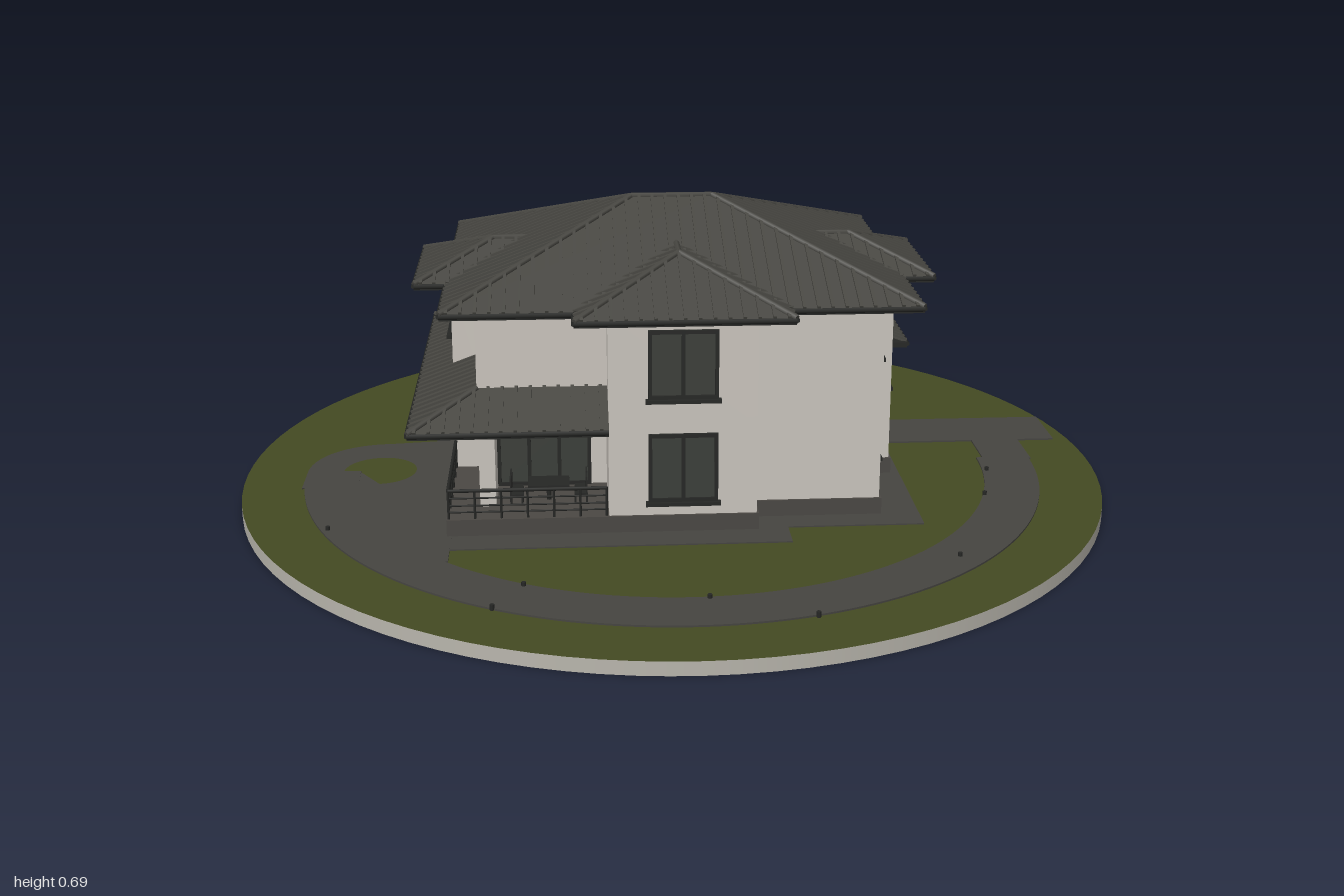
import * as THREE from 'three';
import { mergeGeometries } from 'three/addons/utils/BufferGeometryUtils.js';

const mat = (name, color, side = THREE.FrontSide) => {
  const m = new THREE.MeshStandardMaterial({ color, side });
  m.name = name;
  return m;
};

export function createModel() {
  const wall = mat('plaster', 0xcbc6be), roofMat = mat('roof', 0x484742, THREE.DoubleSide);
  const trim = mat('dark trim', 0x262725), glass = mat('glass', 0x3c3f3a);
  const plinthMat = mat('plinth', 0x4b4844), grass = mat('grass', 0x444a22);
  const paving = mat('paving', 0x464541), concrete = mat('concrete', 0xb9b6ad);
  const model = new THREE.Group();

  const add = (name, geo, material, parent = model) => {
    const m = new THREE.Mesh(geo, material);
    m.name = name;
    parent.add(m);
    return m;
  };
  const group = (name) => {
    const g = new THREE.Group();
    g.name = name;
    model.add(g);
    return g;
  };
  // Box given by its limits
  const box = (x0, x1, y0, y1, z0, z1) =>
    new THREE.BoxGeometry(x1 - x0, y1 - y0, z1 - z0).translate((x0 + x1) / 2, (y0 + y1) / 2, (z0 + z1) / 2);
  // Upright prism over a plan shape drawn in (x, -z)
  const prism = (shape, y0, y1) =>
    new THREE.ExtrudeGeometry(shape, { depth: y1 - y0, bevelEnabled: false, curveSegments: 48 })
      .rotateX(-Math.PI / 2).translate(0, y0, 0);
  const plan = (pts) => new THREE.Shape(pts.map(([x, z]) => new THREE.Vector2(x, -z)));
  const rod = (a, b, r, sides = 6) => {
    const p = new THREE.Vector3(...a), d = new THREE.Vector3(...b).sub(p);
    const q = new THREE.Quaternion().setFromUnitVectors(new THREE.Vector3(0, 1, 0), d.clone().normalize());
    const c = p.addScaledVector(d, 0.5);
    return new THREE.CylinderGeometry(r, r, d.length(), sides).applyQuaternion(q).translate(c.x, c.y, c.z);
  };

  // Round plot with grass on top
  add('plot', new THREE.CylinderGeometry(1, 1, 0.03, 96).translate(0, 0.015, 0), [concrete, grass, concrete]);

  // Curved drive, turning loop with island, side drive and apron
  const G = 0.03, P = 0.034;
  const ring = new THREE.Shape();
  ring.absarc(0, 0, 0.86, Math.PI, 2 * Math.PI, false);
  ring.absarc(0, 0, 0.735, 2 * Math.PI, Math.PI, true);
  add('curvedDrive', prism(ring, G, P), paving);
  const loop = new THREE.Shape();
  loop.moveTo(-0.86, 0);
  loop.bezierCurveTo(-0.86, 0.11, -0.78, 0.18, -0.68, 0.18);
  loop.lineTo(-0.5, 0.2);
  loop.lineTo(-0.5, -0.53);
  loop.absarc(0, 0, 0.74, Math.PI + 0.81, Math.PI, true);
  loop.lineTo(-0.86, -0.1);
  const island = new THREE.Path();
  island.absarc(-0.69, 0, 0.085, 0, Math.PI * 2, true);
  loop.holes.push(island);
  add('turningLoop', prism(loop, G, P - 0.0005), paving);
  add('sideDrive', box(0.44, 0.955, G, P, -0.28, -0.12), paving);
  add('driveLink', box(0.75, 0.865, G, P, -0.12, 0.01), paving);
  add('apron', mergeGeometries([box(-0.57, 0.53, G, P - 0.001, -0.44, 0.39),
    box(-0.57, 0.23, G, P - 0.001, 0.39, 0.47), box(-0.23, 0.51, G, P - 0.001, -0.51, -0.44)]), paving);
  const lamps = [[0.03, 0.74], [0.7, 0.235], [0.74, 0.085], [0.57, 0.57], [0.235, 0.83], [-0.4, 0.76], [-0.77, 0.35], [-0.34, 0.66]];
  add('driveLamps', mergeGeometries(lamps.map(([x, z]) =>
    new THREE.CylinderGeometry(0.005, 0.005, 0.012, 8).translate(x, 0.036, z))), trim);

  // Plinth and the two storeys, with a recessed terrace and entrance
  add('plinth', prism(plan([[-0.51, 0.4], [0.165, 0.4], [0.165, 0.33], [0.445, 0.33], [0.445, 0.085], [0.51, 0.085],
    [0.51, -0.125], [0.445, -0.125], [0.445, -0.445], [-0.165, -0.445], [-0.165, -0.375], [-0.51, -0.375]]), G, 0.07), plinthMat);
  add('groundFloorWalls', prism(plan([[-0.44, 0.08], [-0.44, 0.325], [-0.405, 0.325], [-0.405, 0.2], [-0.16, 0.2],
    [-0.16, 0.395], [0.16, 0.395], [0.16, 0.325], [0.44, 0.325], [0.44, 0.08], [0.505, 0.08], [0.505, -0.12],
    [0.34, -0.12], [0.34, -0.265], [0.44, -0.265], [0.44, -0.44], [-0.16, -0.44], [-0.16, -0.37],
    [-0.505, -0.37], [-0.505, 0.08]]), 0.07, 0.29), wall);
  add('upperFloorWalls', prism(plan([[-0.44, 0.325], [-0.16, 0.325], [-0.16, 0.395], [0.16, 0.395], [0.16, 0.325],
    [0.44, 0.325], [0.44, 0.08], [0.505, 0.08], [0.505, -0.12], [0.44, -0.12], [0.44, -0.37], [0.16, -0.37],
    [0.16, -0.44], [-0.16, -0.44], [-0.16, -0.37], [-0.44, -0.37], [-0.44, -0.12], [-0.505, -0.12],
    [-0.505, 0.08], [-0.44, 0.08]]), 0.27, 0.52), wall);

  // One roof slope: eave starts at (x, z) and runs along (dx, dz); hips at either end are optional
  const S = 0.373;
  const slope = (g, x, z, dx, dz, L, R, y, hipA, hipB) => {
    const nx = dz, nz = -dx;
    const at = (t, r, h = 0) => [x + dx * t + nx * r, y + S * r + h, z + dz * t + nz * r];
    const a = at(0, 0), b = at(L, 0), c = at(L - hipB * R, R), d = at(hipA * R, R);
    const face = new THREE.BufferGeometry();
    face.setAttribute('position', new THREE.Float32BufferAttribute([a, b, c, a, c, d].flat(), 3));
    face.computeVertexNormals();
    add('roofSlope', face, roofMat, g);
    // Raised seams up the slope
    const ribs = [], k = Math.hypot(1, S), n = Math.round(L / 0.03);
    const basis = new THREE.Matrix4().makeBasis(new THREE.Vector3(dx, 0, dz),
      new THREE.Vector3(-nx * S, 1, -nz * S).normalize(), new THREE.Vector3(-nx, -S, -nz).normalize());
    for (let i = 0; i < n; i++) {
      const t = (i + 0.5) * L / n;
      const len = Math.min(R, hipA ? t : R, hipB ? L - t : R);
      const m = basis.clone().setPosition(...at(t, len / 2));
      ribs.push(new THREE.BoxGeometry(0.007, 0.01, len * k).applyMatrix4(m));
    }
    add('roofSeams', mergeGeometries(ribs), roofMat, g);
    if (hipA) add('hipCap', rod(a, d, 0.007), roofMat, g);
    // Soffit strip with fascia
    const e = at(0, 0), f = at(L, R);
    add('eave', box(Math.min(e[0], f[0]), Math.max(e[0], f[0]), y - 0.014, y - 0.001,
      Math.min(e[2], f[2]), Math.max(e[2], f[2])), trim, g);
    add('gutter', rod(at(0, 0, -0.005), at(L, 0, -0.005), 0.006), trim, g);
  };
  const hipRoof = (name, x0, x1, z0, z1, y) => {
    const g = group(name), w = x1 - x0, d = z1 - z0, R = Math.min(w, d) / 2;
    slope(g, x0, z1, 1, 0, w, R, y, 1, 1);
    slope(g, x1, z1, 0, -1, d, R, y, 1, 1);
    slope(g, x1, z0, -1, 0, w, R, y, 1, 1);
    slope(g, x0, z0, 0, 1, d, R, y, 1, 1);
    const h = y + R * S;
    add('ridgeCap', rod([x0 + R, h, z0 + R], [x1 - R, h, z1 - R], 0.007), roofMat, g);
  };
  // Main roof crossed by the roofs of the four bays
  hipRoof('mainRoof', -0.51, 0.51, -0.44, 0.395, 0.528);
  hipRoof('frontBackBayRoof', -0.23, 0.23, -0.51, 0.465, 0.528);
  hipRoof('sideBayRoof', -0.58, 0.58, -0.19, 0.15, 0.528);
  // Lean-to roofs over terrace side and entrance side
  const terraceRoof = group('terraceRoof');
  slope(terraceRoof, -0.58, 0.465, 1, 0, 0.42, 0.14, 0.291, 1, 0);
  slope(terraceRoof, -0.58, -0.44, 0, 1, 0.905, 0.14, 0.291, 1, 1);
  slope(terraceRoof, -0.44, -0.44, -1, 0, 0.14, 0.14, 0.291, 0, 1);
  const entranceRoof = group('entranceRoof');
  slope(entranceRoof, 0.58, -0.12, 0, -1, 0.39, 0.14, 0.291, 0, 1);
  slope(entranceRoof, 0.58, -0.51, -1, 0, 0.42, 0.14, 0.291, 1, 0);

  // Windows and doors: u is the centre along the wall, p the wall plane
  const turns = { front: 0, left: Math.PI / 2, back: Math.PI, right: -Math.PI / 2 };
  const opening = (name, side, p, u, y0, y1, w, panes = 1, sill = true) => {
    const g = group(name), h = y1 - y0, b = 0.008;
    g.rotation.y = turns[side];
    if (side === 'front' || side === 'back') g.position.set(u, y0, p);
    else g.position.set(p, y0, u);
    add('pane', box(-w / 2, w / 2, 0, h, -0.002, 0.003), glass, g);
    const bars = [box(-w / 2, w / 2, 0, b, 0, 0.008), box(-w / 2, w / 2, h - b, h, 0, 0.008)];
    for (let i = 0; i <= panes; i++) {
      const x = -w / 2 + b / 2 + i * (w - b) / panes;
      bars.push(box(x - b / 2, x + b / 2, 0, h, 0, 0.008));
    }
    add('frame', mergeGeometries(bars), trim, g);
    if (sill) add('sill', box(-w / 2 - 0.006, w / 2 + 0.006, -0.008, 0, 0, 0.015), trim, g);
  };
  opening('frontUpperWindow', 'front', 0.395, 0, 0.335, 0.487, 0.15, 2);
  opening('frontLowerWindow', 'front', 0.395, 0, 0.102, 0.256, 0.15, 2);
  opening('terraceDoors', 'front', 0.2, -0.3, 0.07, 0.26, 0.21, 3, false);
  opening('sideUpperWindow', 'left', 0.44, 0.195, 0.375, 0.487, 0.14, 2);
  opening('sideLowerWindow', 'left', 0.44, 0.195, 0.143, 0.257, 0.14, 2);
  opening('stairWindow', 'left', 0.505, -0.017, 0.225, 0.487, 0.077);
  opening('frontDoor', 'left', 0.34, -0.162, 0.07, 0.212, 0.062, 1, false);
  for (const z of [-0.185, -0.28]) opening('smallUpperWindow', 'left', 0.44, z, 0.375, 0.487, 0.046);
  opening('backUpperWindow', 'back', -0.44, 0, 0.335, 0.487, 0.15, 2);
  for (const x of [0.34, 0.237, 0.057, -0.045]) opening('backNarrowWindow', 'back', -0.44, x, 0.125, 0.255, 0.046);
  opening('farSideWindow', 'right', -0.505, -0.22, 0.13, 0.256, 0.16, 2);
  opening('farBayWindow', 'right', -0.505, -0.02, 0.13, 0.256, 0.11, 2);
  opening('farUpperWindow', 'right', -0.44, -0.25, 0.375, 0.487, 0.12, 2);
  opening('farBayUpperWindow', 'right', -0.505, -0.02, 0.375, 0.487, 0.1, 2);

  // Railings
  const railing = (name, x0, z0, x1, z1, posts) => {
    const parts = [];
    for (let i = 0; i <= posts; i++) {
      const x = x0 + (x1 - x0) * i / posts, z = z0 + (z1 - z0) * i / posts;
      parts.push(rod([x, 0.06, z], [x, 0.136, z], 0.003));
    }
    for (const y of [0.085, 0.1, 0.117, 0.134]) parts.push(rod([x0, y, z0], [x1, y, z1], y > 0.13 ? 0.004 : 0.002));
    add(name, mergeGeometries(parts), trim);
  };
  railing('terraceFrontRailing', -0.505, 0.392, -0.165, 0.392, 6);
  railing('terraceSideRailing', -0.505, 0.392, -0.505, 0.085, 5);
  railing('entranceRailing', 0.4, -0.265, 0.5, -0.265, 2);

  // Entrance steps
  add('entranceSteps', mergeGeometries([box(0.44, 0.475, G, 0.058, -0.265, -0.125), box(0.44, 0.51, G, 0.045, -0.265, -0.125)]), plinthMat);

  // Terrace table and chairs
  const table = [box(-0.335, -0.245, 0.108, 0.113, 0.26, 0.32), rod([-0.29, 0.07, 0.29], [-0.29, 0.11, 0.29], 0.006)];
  for (const [x, s] of [[-0.36, -1], [-0.22, 1]]) {
    for (const z of [0.272, 0.308]) {
      table.push(box(x - 0.013, x + 0.013, 0.09, 0.094, z - 0.013, z + 0.013));
      table.push(box(x + s * 0.013 - 0.002, x + s * 0.013 + 0.002, 0.07, 0.132, z - 0.013, z + 0.013));
      table.push(box(x - s * 0.012 - 0.002, x - s * 0.012 + 0.002, 0.07, 0.09, z - 0.012, z + 0.012));
    }
  }
  add('terraceFurniture', mergeGeometries(table), trim);

  return model;
}
